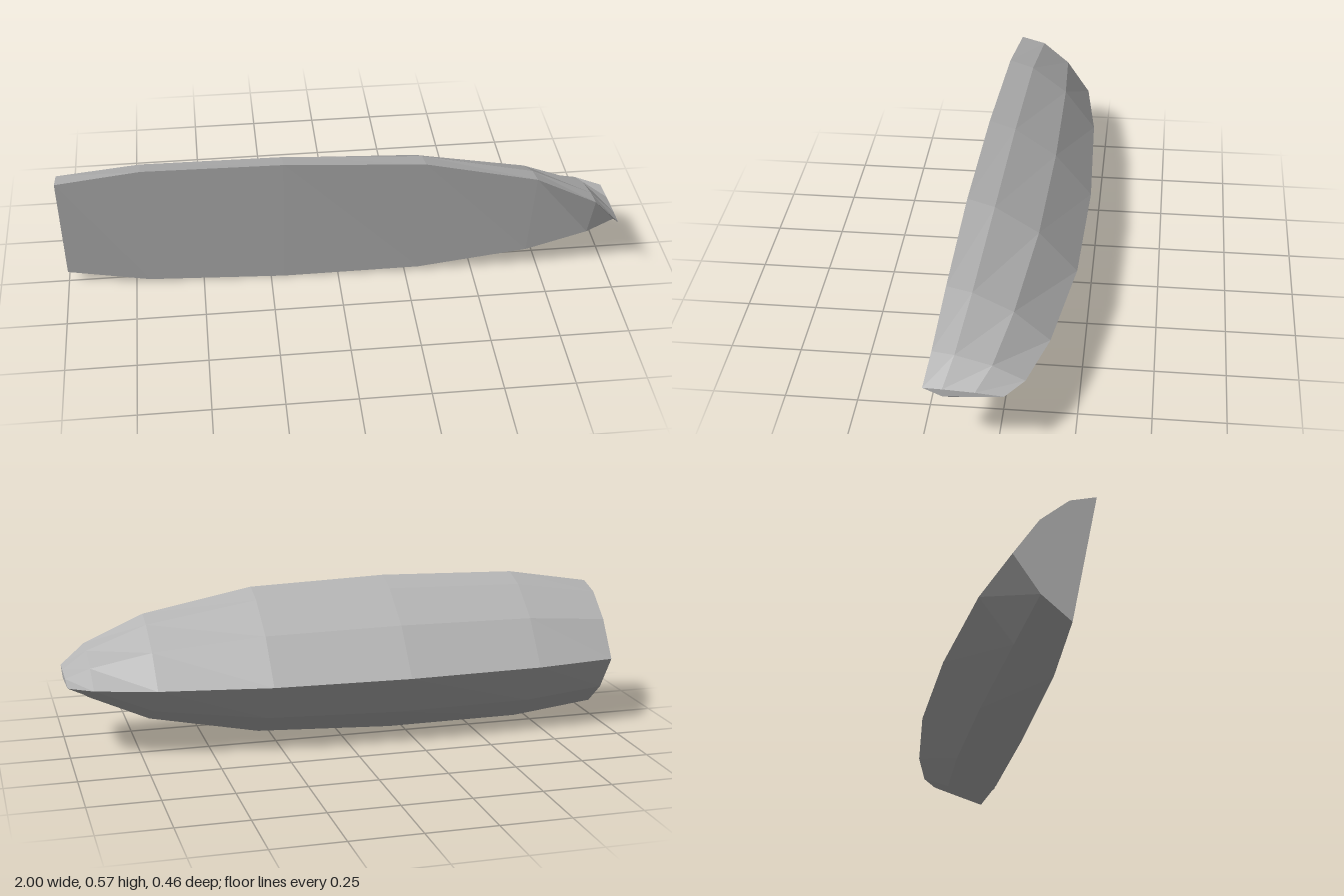
import * as THREE from 'three';

// Hull stations from stern to bow: x, keel z, chine z, sheer z, half width at the chine
const STATIONS = [
  [-1.0, -0.172, 0.015, 0.105, 0.216],
  [-0.7, -0.213, 0.035, 0.125, 0.259],
  [-0.2, -0.231, 0.055, 0.150, 0.268],
  [0.3, -0.213, 0.075, 0.170, 0.250],
  [0.7, -0.152, 0.105, 0.190, 0.177],
  [0.915, -0.090, 0.137, 0.210, 0.087],
  [1.0, -0.030, 0.167, 0.230, 0.0143],
];
const MID = 0.271; // height of the keel line

// Six-cornered section: keel, upper bilge, chine, upper sheer, lower sheer, lower bilge
function section([x, keel, chine, sheer, half]) {
  const bilge = chine - 0.53 * (chine - keel);
  return [
    [0, keel], [0.61 * half, bilge], [half, chine],
    [1.115 * half, sheer], [-half, chine], [-0.61 * half, bilge],
  ].map(([y, z]) => new THREE.Vector3(x, MID + y, z));
}

export function createModel() {
  const group = new THREE.Group();
  group.name = 'hullModel';
  const grey = new THREE.MeshStandardMaterial({ color: 0xb4b4b4, flatShading: true, side: THREE.DoubleSide });
  grey.name = 'hull grey';
  const rings = STATIONS.map(section);

  function addMesh(name, points) {
    const geometry = new THREE.BufferGeometry().setFromPoints(points);
    geometry.computeVertexNormals();
    const mesh = new THREE.Mesh(geometry, grey);
    mesh.name = name;
    group.add(mesh);
  }

  // Lengthwise strip between two neighbouring section corners
  function strip(i) {
    const j = (i + 1) % 6;
    const points = [];
    for (let s = 0; s < rings.length - 1; s++) {
      const a = rings[s], b = rings[s + 1];
      points.push(a[i], a[j], b[j], a[i], b[j], b[i]);
    }
    return points;
  }

  // Flat end closing a section
  function cap(ring) {
    const points = [];
    for (let i = 1; i < 5; i++) points.push(ring[0], ring[i], ring[i + 1]);
    return points;
  }

  // Planking on both sides, and the flat deck
  ['upperBottom', 'upperBilge', 'upperStrake', 'deck', 'lowerBilge', 'lowerBottom']
    .forEach((name, i) => addMesh(name, strip(i)));

  // Stern and bow ends
  addMesh('transom', cap(rings[0]).reverse());
  addMesh('bowEnd', cap(rings[rings.length - 1]));

  return group;
}
